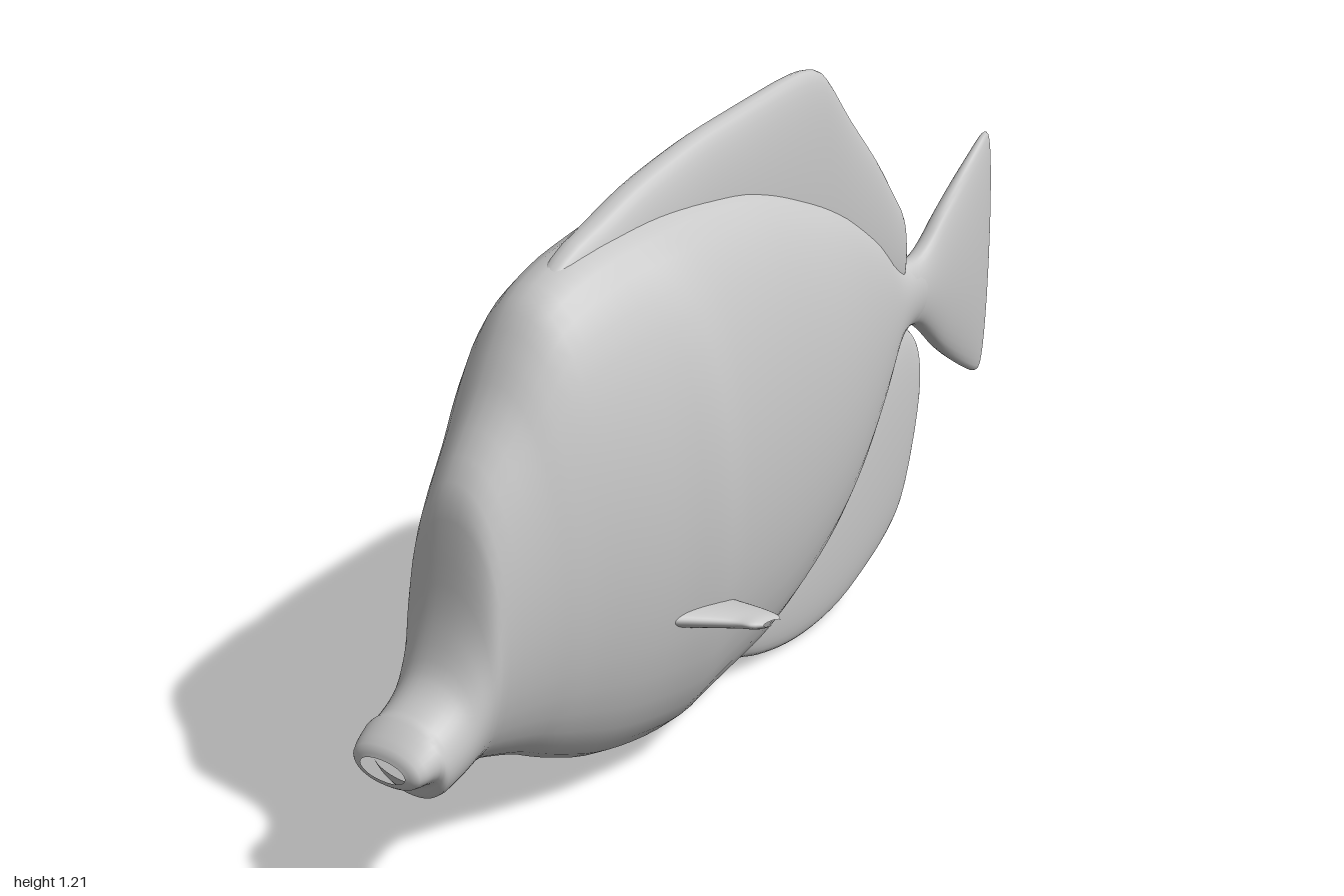
import * as THREE from 'three';

const SIDES = 40;

// Smooth skin through sections [x, low edge, high edge, half thickness], capped at both ends.
// power < 1 makes the section fuller than an ellipse.
function loft(rows, steps = 3, power = 1) {
  const curve = (k) => new THREE.CatmullRomCurve3(
    rows.map((r) => new THREE.Vector3(r[0], r[k], r[3])), false, 'catmullrom', 0.5);
  const low = curve(1), high = curve(2);
  const n = (rows.length - 1) * steps;
  const pos = [], index = [];
  const ring = (t) => {
    const a = low.getPoint(t), b = high.getPoint(t);
    const mid = (a.y + b.y) / 2, half = (b.y - a.y) / 2;
    for (let j = 0; j < SIDES; j++) {
      const th = (j / SIDES) * Math.PI * 2, c = Math.cos(th);
      pos.push(a.x, mid + half * Math.sin(th), Math.sign(c) * Math.abs(c) ** power * Math.max(a.z, 0.002));
    }
    return [a.x, mid, 0];
  };
  for (let i = 0; i <= n; i++) ring(i / n);
  for (let i = 0; i < n; i++) {
    for (let j = 0; j < SIDES; j++) {
      const k = (j + 1) % SIDES;
      const a = i * SIDES + j, b = i * SIDES + k, c = a + SIDES, d = b + SIDES;
      index.push(a, c, b, b, c, d);
    }
  }
  // End caps on their own vertices so the rim stays crisp
  for (const t of [0, 1]) {
    const base = pos.length / 3;
    pos.push(...ring(t));
    for (let j = 0; j < SIDES; j++) {
      const a = base + j, b = base + ((j + 1) % SIDES);
      index.push(base + SIDES, t ? a : b, t ? b : a);
    }
  }
  const g = new THREE.BufferGeometry();
  g.setAttribute('position', new THREE.Float32BufferAttribute(pos, 3));
  g.setIndex(index);
  g.computeVertexNormals();
  return g;
}

export function createModel() {
  const model = new THREE.Group();
  model.name = 'fish';
  const skin = new THREE.MeshStandardMaterial({ color: 0xc8c8c8 });
  skin.name = 'pale grey skin';

  const add = (name, geometry) => {
    const mesh = new THREE.Mesh(geometry, skin);
    mesh.name = name;
    model.add(mesh);
    return mesh;
  };

  // Deep, flat body with a steep forehead and a short snout
  add('body', loft([
    [-1.0, 0.275, 0.315, 0.05], [-0.99, 0.26, 0.335, 0.075], [-0.95, 0.25, 0.365, 0.087],
    [-0.93, 0.212, 0.375, 0.088], [-0.89, 0.215, 0.4, 0.09], [-0.86, 0.22, 0.44, 0.092],
    [-0.83, 0.222, 0.53, 0.096], [-0.81, 0.22, 0.65, 0.102], [-0.785, 0.217, 0.745, 0.108],
    [-0.7, 0.185, 0.86, 0.138], [-0.65, 0.157, 0.94, 0.155], [-0.59, 0.125, 1.015, 0.17],
    [-0.5, 0.086, 1.055, 0.19], [-0.4, 0.062, 1.075, 0.208], [-0.3, 0.055, 1.085, 0.228],
    [-0.2, 0.062, 1.085, 0.21], [-0.1, 0.072, 1.075, 0.195], [0, 0.085, 1.06, 0.183],
    [0.1, 0.115, 1.03, 0.17], [0.2, 0.16, 0.99, 0.155], [0.3, 0.215, 0.945, 0.133],
    [0.4, 0.29, 0.89, 0.105], [0.5, 0.4, 0.82, 0.076], [0.58, 0.52, 0.74, 0.053],
    [0.64, 0.56, 0.71, 0.04], [0.7, 0.565, 0.705, 0.034],
  ], 3, 0.93)).position.z = 0.008;

  // Long fin along the back, rooted inside the body
  add('dorsalFin', loft([
    [-0.62, 0.8, 0.97, 0.02], [-0.5, 0.8, 1.063, 0.04], [-0.4, 0.85, 1.102, 0.045],
    [-0.3, 0.9, 1.137, 0.045], [-0.2, 0.9, 1.162, 0.045], [-0.1, 0.9, 1.182, 0.043],
    [0, 0.88, 1.195, 0.042], [0.1, 0.85, 1.207, 0.04], [0.2, 0.82, 1.217, 0.038],
    [0.27, 0.79, 1.215, 0.036], [0.32, 0.77, 1.19, 0.035], [0.4, 0.74, 1.095, 0.035],
    [0.5, 0.7, 0.985, 0.034], [0.57, 0.67, 0.895, 0.032], [0.61, 0.66, 0.84, 0.028],
    [0.625, 0.68, 0.78, 0.015],
  ], 3, 0.7)).position.z = 0.012;

  // Rounded fin under the rear belly
  add('analFin', loft([
    [-0.14, 0.08, 0.2, 0.02], [-0.05, 0.068, 0.25, 0.035], [0.03, 0.052, 0.3, 0.038],
    [0.1, 0.028, 0.33, 0.038], [0.2, 0.008, 0.37, 0.038], [0.3, 0.005, 0.41, 0.038],
    [0.4, 0.02, 0.46, 0.038], [0.5, 0.06, 0.52, 0.038], [0.58, 0.105, 0.57, 0.038],
    [0.63, 0.155, 0.58, 0.036], [0.66, 0.24, 0.56, 0.034], [0.685, 0.34, 0.53, 0.028],
    [0.703, 0.42, 0.48, 0.012],
  ], 3, 0.7)).position.z = 0.01;

  // Fan tail with a straight rear edge
  add('tailFin', loft([
    [0.58, 0.57, 0.7, 0.03], [0.64, 0.563, 0.712, 0.038], [0.69, 0.56, 0.71, 0.036],
    [0.74, 0.525, 0.735, 0.036], [0.8, 0.47, 0.787, 0.037], [0.87, 0.418, 0.84, 0.036],
    [0.94, 0.374, 0.89, 0.03], [0.975, 0.358, 0.912, 0.023], [0.99, 0.362, 0.908, 0.018],
    [0.995, 0.38, 0.89, 0.01],
  ], 3, 0.8)).position.z = 0.006;

  // Side fins: the section runs outward along z, chord along x, tilted down to the rear
  for (const side of [1, -1]) {
    const g = loft([
      [0.12, -0.11, 0.1, 0.02], [0.18, -0.11, 0.095, 0.024], [0.215, -0.08, 0.09, 0.022],
      [0.25, -0.045, 0.088, 0.019], [0.28, -0.02, 0.085, 0.016], [0.305, -0.012, 0.08, 0.012],
      [0.318, 0.01, 0.065, 0.005],
    ], 3);
    g.applyMatrix4(new THREE.Matrix4().makeBasis(
      new THREE.Vector3(0, 0, side), new THREE.Vector3(1, 0, 0), new THREE.Vector3(0, side, 0)));
    const fin = add(side > 0 ? 'leftPectoralFin' : 'rightPectoralFin', g);
    fin.position.set(-0.33, 0.355, 0);
    fin.rotation.set(-0.05 * side, 0, -0.22);
  }

  return model;
}
